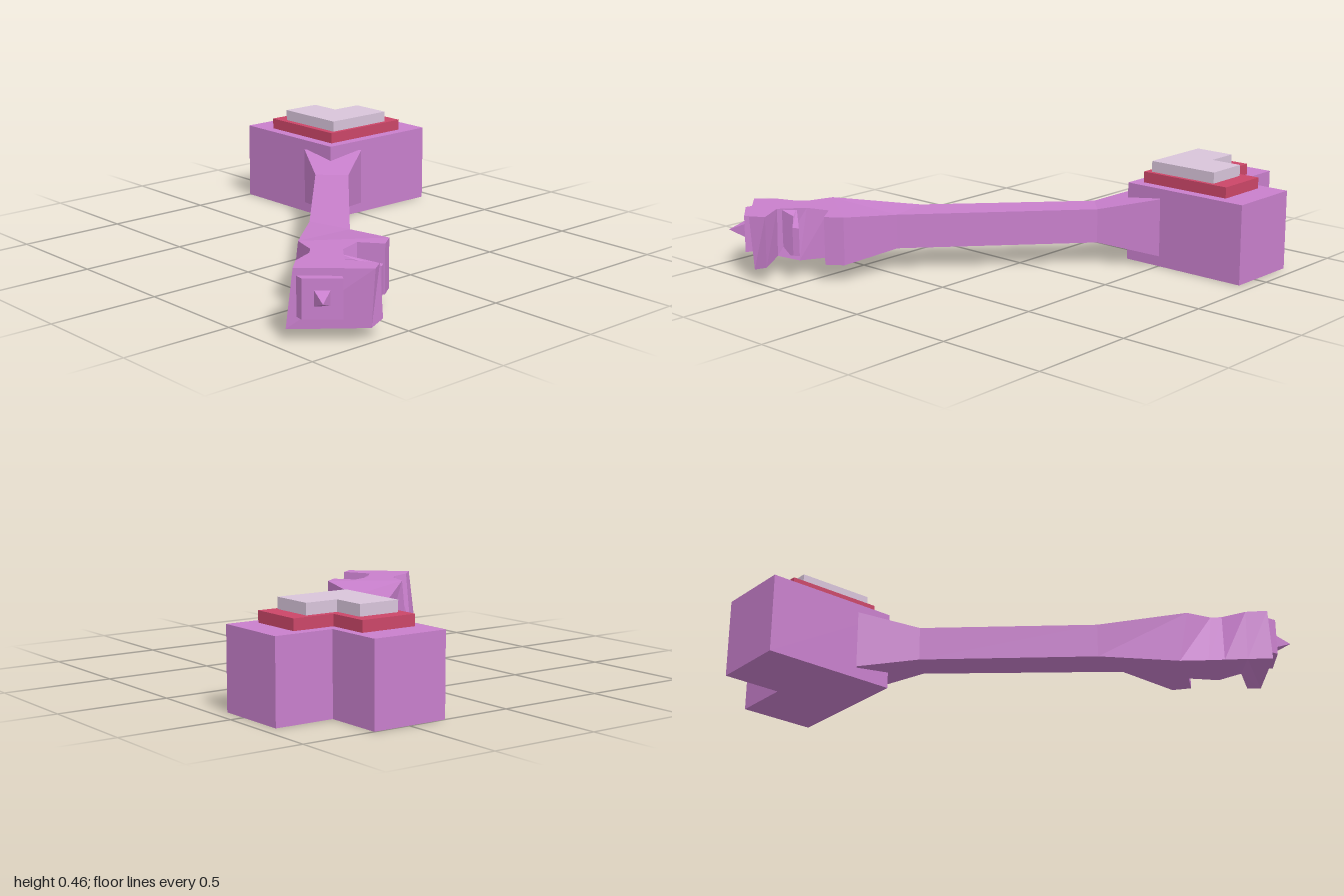
import * as THREE from 'three';

const paint = (color) => new THREE.MeshStandardMaterial({ color, flatShading: true });
const pink = paint(0xc87fcc), red = paint(0xcb4668), pale = paint(0xd8c4da);

// Solid between two matching outlines; every point is [x, z, y].
function prism(name, top, bottom, material) {
  const flat = top.map(([x, z]) => new THREE.Vector2(x, z));
  if (THREE.ShapeUtils.area(flat) > 0) {
    flat.reverse();
    top = [...top].reverse();
    bottom = [...bottom].reverse();
  }
  const pos = [];
  const tri = (...pts) => pts.forEach(([x, z, y]) => pos.push(x, y, z));
  for (const [a, b, c] of THREE.ShapeUtils.triangulateShape(flat, [])) {
    const [p, q] = THREE.ShapeUtils.area([flat[a], flat[b], flat[c]]) < 0 ? [b, c] : [c, b];
    tri(top[a], top[p], top[q]);
    tri(bottom[a], bottom[q], bottom[p]);
  }
  top.forEach((t, i) => {
    const j = (i + 1) % top.length;
    tri(bottom[i], bottom[j], top[j]);
    tri(bottom[i], top[j], t);
  });
  const geo = new THREE.BufferGeometry();
  geo.setAttribute('position', new THREE.Float32BufferAttribute(pos, 3));
  geo.computeVertexNormals();
  const mesh = new THREE.Mesh(geo, material);
  mesh.name = name;
  return mesh;
}

const atHeight = (outline, y) => outline.map(([x, z]) => [x, z, y]);
const slab = (name, outline, y0, y1, material) =>
  prism(name, atHeight(outline, y1), atHeight(outline, y0), material);

// Square with its back right corner cut out: a blocky heart.
const heart = (x0, x1, z0, z1, nx, nz) =>
  [[x0, z1], [x1, z1], [x1, z0], [nx, z0], [nx, nz], [x0, nz]];

export function createModel() {
  const key = new THREE.Group();
  key.name = 'key';

  // Heart-shaped handle with two stacked plates
  key.add(
    slab('handle', heart(-1, -0.38, -0.94, -0.32, -0.73, -0.67), 0, 0.36, pink),
    slab('lowerPlate', heart(-0.87, -0.43, -0.82, -0.37, -0.68, -0.63), 0.36, 0.41, red),
    slab('upperPlate', heart(-0.8, -0.45, -0.74, -0.4, -0.65, -0.59), 0.41, 0.46, pale),
  );

  // Shaft: left edge, right edge, bottom and top of each section
  const sections = [
    { a: [-0.56, -0.31], b: [-0.37, -0.51], lo: [0.05, 0.05], hi: [0.315, 0.315] },
    { a: [-0.32, -0.17], b: [-0.21, -0.28], lo: [0.105, 0.105], hi: [0.26, 0.26] },
    { a: [0.26, 0.37], b: [0.46, 0.32], lo: [0.105, 0.105], hi: [0.26, 0.26] },
    { a: [0.53, 0.665], b: [0.74, 0.36], aLow: [0.48, 0.655], lo: [0.05, 0.08], hi: [0.295, 0.295] },
  ];
  const names = ['shaftCollar', 'shaft', 'shaftFlare'];
  names.forEach((name, i) => {
    const s = sections[i], e = sections[i + 1];
    key.add(prism(name,
      [[...s.a, s.hi[0]], [...e.a, e.hi[0]], [...e.b, e.hi[1]], [...s.b, s.hi[1]]],
      [[...s.a, s.lo[0]], [...(e.aLow ?? e.a), e.lo[0]], [...e.b, e.lo[1]], [...s.b, s.lo[1]]],
      pink));
  });

  // Bit: notched outline on top, wider outline below
  const bitTop = [
    [0.53, 0.665], [0.645, 0.7], [0.68, 0.735], [0.72, 0.84], [0.785, 0.91],
    [1, 0.68], [0.96, 0.62], [0.835, 0.69], [0.735, 0.607], [0.7, 0.5], [0.79, 0.43], [0.74, 0.36],
  ];
  const bitBottom = [
    [0.48, 0.655, 0.05], [0.57, 0.74, 0.05], [0.62, 0.79, 0.05], [0.69, 0.86, 0.05], [0.77, 0.935, 0.05],
    [0.98, 0.68, 0.05], [0.97, 0.61, 0.07], [0.84, 0.69, 0.08], [0.8, 0.59, 0.07],
    [0.7, 0.5, 0.08], [0.79, 0.43, 0.08], [0.74, 0.36, 0.08],
  ];
  key.add(prism('bit', atHeight(bitTop, 0.295), bitBottom, pink));

  // Narrow middle tooth, lower at its tip
  const tooth = [[0.76, 0.645], [0.82, 0.675], [0.81, 0.61], [0.88, 0.535], [0.865, 0.51]];
  const rise = [0.29, 0.29, 0.27, 0.245, 0.245], drop = [0.08, 0.08, 0.09, 0.12, 0.12];
  key.add(prism('middleTooth',
    tooth.map((p, i) => [...p, rise[i]]), tooth.map((p, i) => [...p, drop[i]]), pink));

  // Raised square panel and small spike on the tip
  key.add(slab('tipPanel', [[0.785, 0.9], [0.835, 0.91], [0.94, 0.79], [0.9, 0.765]], 0.1, 0.265, pink));
  const spike = new THREE.Mesh(
    new THREE.ConeGeometry(0.045, 0.075, 4).rotateY(Math.PI / 4).rotateX(Math.PI / 2), pink);
  spike.name = 'tipSpike';
  spike.position.set(0.915, 0.185, 0.873);
  spike.rotation.y = Math.atan2(0.77, 0.64);
  key.add(spike);

  return key;
}
